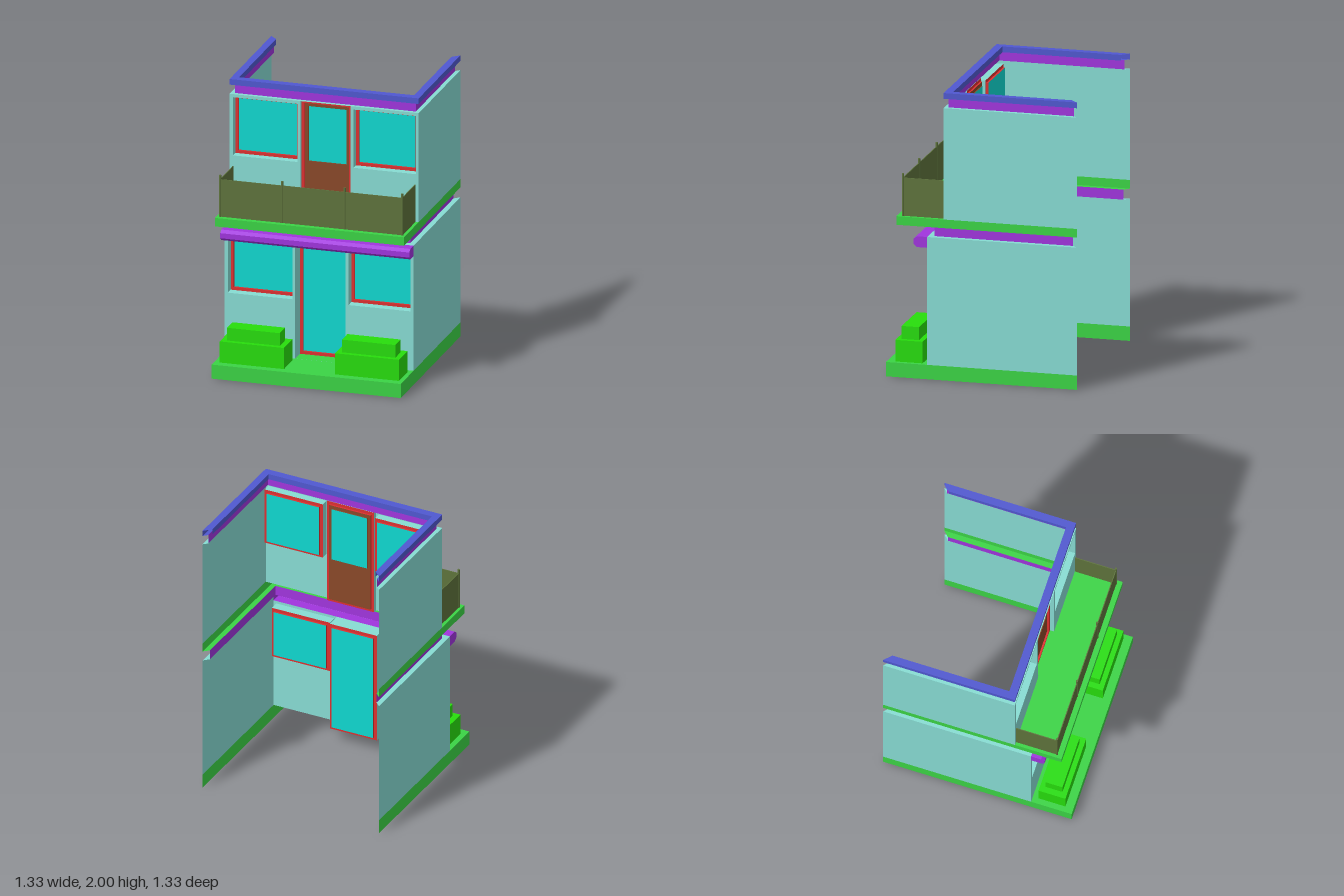
import * as THREE from 'three';

const C = {
  wall: 0x87dcd3, glass: 0x0fd8d0, red: 0xdd3030, purple: 0xa035dd, blue: 0x5058d0,
  green: 0x3bd445, bush: 0x27dd0c, brown: 0x8a4828, olive: 0x5e733c,
};
const mats = {};
for (const k in C) mats[k] = new THREE.MeshStandardMaterial({ color: C[k], side: THREE.DoubleSide });

const S = 0.667; // half width and half depth

export function createModel() {
  const model = new THREE.Group();

  function add(name, color, geometry, parent = model) {
    const mesh = new THREE.Mesh(geometry, mats[color]);
    mesh.name = name;
    parent.add(mesh);
    return mesh;
  }

  // Flat-faced skin joining successive rings of points; skip leaves out one edge of the rings
  function skin(name, color, rings, { closed = false, cap = false, skip = -1, parent = model } = {}) {
    const pos = [];
    const tri = (a, b, c) => {
      const n = new THREE.Triangle(...[a, b, c].map((p) => new THREE.Vector3(...p)));
      if (n.getArea() > 1e-7) pos.push(...a, ...b, ...c);
    };
    const quad = (a, b, c, d) => { tri(a, b, c); tri(a, c, d); };
    for (let r = 0; r + 1 < rings.length; r++) {
      const A = rings[r], B = rings[r + 1], n = A.length;
      for (let i = 0; i < (closed ? n : n - 1); i++) {
        const j = (i + 1) % n;
        if (i !== skip) quad(A[i], A[j], B[j], B[i]);
      }
    }
    if (cap) quad(...rings[rings.length - 1]);
    const g = new THREE.BufferGeometry();
    g.setAttribute('position', new THREE.Float32BufferAttribute(pos, 3));
    g.computeVertexNormals();
    return add(name, color, g, parent);
  }

  // U-shaped run around left, front and right; profile rows are [half width, front z, y]
  const around = (name, color, profile, skip) => skin(name, color,
    profile.map(([x, z, y]) => [[-x, y, -x], [-x, y, z], [x, y, z], [x, y, -x]]), { skip });

  const rectPath = (x0, x1, y0, y1, Type) => {
    const p = new Type();
    p.moveTo(x0, y0).lineTo(x1, y0).lineTo(x1, y1).lineTo(x0, y1).closePath();
    return p;
  };
  const inset = ([x0, x1, y0, y1], d) => [x0 + d, x1 - d, y0 + d, y1 - d];
  const ring = ([x0, x1, y0, y1], z) => [[x0, y0, z], [x1, y0, z], [x1, y1, z], [x0, y1, z]];

  // Reveal, frame and pane set back in the wall
  function opening(name, r, zWall, zFrame, zPane, { door = false, leaf = null } = {}) {
    const parent = new THREE.Group();
    parent.name = name;
    model.add(parent);
    const o = { closed: true, parent }, inner = inset(r, 0.021);
    skin(name + 'Reveal', 'wall', [ring(r, zWall), ring(r, zFrame)], { ...o, skip: door ? 0 : -1 });
    skin(name + 'Frame', 'red', [ring(r, zFrame), ring(inner, zFrame), ring(inner, zPane)], o);
    if (leaf) {
      skin(name + 'Leaf', 'brown', [ring(inner, zPane), ring(leaf, zPane), ring(leaf, zPane - 0.008)], o);
      skin(name + 'Glass', 'glass', [ring(leaf, zPane - 0.008)], { cap: true, parent });
    } else {
      skin(name + 'Glass', 'glass', [ring(inner, zPane)], { cap: true, parent });
    }
  }

  // One storey: side walls plus pierced front wall
  function storey(name, z, y0, yFront, ySide, openings) {
    around(name + 'SideWalls', 'wall', [[S, z, y0], [S, z, ySide]], 1);
    const shape = rectPath(-S, S, y0, yFront, THREE.Shape);
    // openings touching an edge stop a hair short of it so that the holes stay valid
    for (const [a, b, c, d] of openings) {
      shape.holes.push(rectPath(a, b, Math.max(c, y0 + 0.0005), Math.min(d, yFront - 0.0005), THREE.Path));
    }
    add(name + 'FrontWall', 'wall', new THREE.ShapeGeometry(shape)).position.z = z;
  }

  const windowsX = [[-0.643, -0.188], [0.208, 0.647]];
  const doorX = [-0.168, 0.187];

  // Ground base: hollow plinth with terrace, door notch and planting holes
  const bushes = [
    { low: [-0.628, -0.175], high: [-0.587, -0.215] },
    { low: [0.186, 0.637], high: [0.224, 0.6] },
  ];
  around('basePlinth', 'green', [[S, S, 0], [S, S, 0.1]]);
  const terrace = new THREE.Shape();
  [[-S, -S], [S, -S], [S, -0.38], [doorX[1], -0.38], [doorX[1], -0.275],
    [doorX[0], -0.275], [doorX[0], -0.38], [-S, -0.38]].forEach(([x, y], i) =>
    (i ? terrace.lineTo(x, y) : terrace.moveTo(x, y)));
  bushes.forEach(({ low }) => terrace.holes.push(rectPath(low[0], low[1], -0.61, -0.42, THREE.Path)));
  const top = add('terraceFloor', 'green', new THREE.ShapeGeometry(terrace));
  top.rotation.x = -Math.PI / 2;
  top.position.y = 0.1;

  // Stepped bushes
  const flat = ([x0, x1], z0, z1, y) => [[x0, y, z1], [x1, y, z1], [x1, y, z0], [x0, y, z0]];
  bushes.forEach(({ low, high }) => skin('bush', 'bush', [
    flat(low, 0.42, 0.61, 0.1), flat(low, 0.42, 0.61, 0.25),
    flat(high, 0.455, 0.576, 0.25), flat(high, 0.455, 0.576, 0.34),
  ], { closed: true, cap: true }));

  // Lower storey
  const lowWin = windowsX.map((x) => [...x, 0.52, 0.896]);
  const lowDoor = [...doorX, 0.1, 0.915];
  storey('lower', 0.38, 0.1, 0.915, 0.99, [...lowWin, lowDoor]);
  lowWin.forEach((r) => opening('lowerWindow', r, 0.38, 0.315, 0.3));
  opening('lowerDoor', lowDoor, 0.38, 0.275, 0.26, { door: true });
  around('lowerLedge', 'wall', [[S, 0.38, 0.99], [0.63, 0.337, 0.99]]);

  // Chamfered cornice above the lower front, open at the rear
  const cornice = [[0.38, 0.915], [0.45, 0.915], [0.475, 0.936], [0.475, 0.972], [0.45, 0.99], [0.38, 0.99]];
  skin('cornice', 'purple', cornice.map(([z, y]) => [[-S, y, z], [S, y, z]]));
  const endShape = new THREE.Shape(cornice.map(([z, y]) => new THREE.Vector2(-z, y)));
  for (const side of [-1, 1]) {
    const end = add('corniceEnd', 'purple', new THREE.ShapeGeometry(endShape));
    end.rotation.y = Math.PI / 2;
    end.position.x = side * S;
  }

  // Recessed band and balcony slab
  around('middleBand', 'purple', [[0.63, 0.337, 0.99], [0.63, 0.337, 1.06]]);
  around('balconySlab', 'green', [[0.63, 0.337, 1.06], [S, 0.595, 1.06], [S, 0.595, 1.12], [S, 0.265, 1.12]]);
  skin('upperDoorstep', 'green', [flat(doorX, 0.235, 0.265, 1.12)], { cap: true });

  // Upper storey
  const upWin = windowsX.map((x) => [...x, 1.459, 1.873]);
  const upDoor = [...doorX, 1.12, 1.895];
  storey('upper', 0.265, 1.12, 1.895, 1.895, [...upWin, upDoor]);
  upWin.forEach((r) => opening('upperWindow', r, 0.265, 0.21, 0.195));
  opening('upperDoor', upDoor, 0.265, 0.235, 0.222, { door: true, leaf: [-0.124, 0.143, 1.46, 1.85] });

  // Parapet band and roof trim
  around('upperLedge', 'wall', [[S, 0.265, 1.895], [0.638, 0.238, 1.895]]);
  around('parapetBand', 'purple', [[0.638, 0.238, 1.895], [0.638, 0.238, 1.96]]);
  around('roofTrim', 'blue', [[0.638, 0.238, 1.96], [S, 0.265, 1.96], [S, 0.265, 2], [0.617, 0.21, 2], [0.617, 0.21, 1.96]]);

  // Balcony railing: thin panels and round posts
  const railZ = 0.555;
  add('railingFront', 'olive', new THREE.BoxGeometry(1.284, 0.265, 0.006)).position.set(0, 1.2525, railZ);
  for (const side of [-1, 1]) {
    add('railingSide', 'olive', new THREE.BoxGeometry(0.006, 0.265, railZ - 0.265))
      .position.set(side * 0.642, 1.2525, (railZ + 0.265) / 2);
  }
  for (const x of [-0.642, -0.204, 0.236, 0.642]) {
    add('railingPost', 'olive', new THREE.CylinderGeometry(0.008, 0.008, 0.295, 10)).position.set(x, 1.2675, railZ);
  }
  return model;
}
